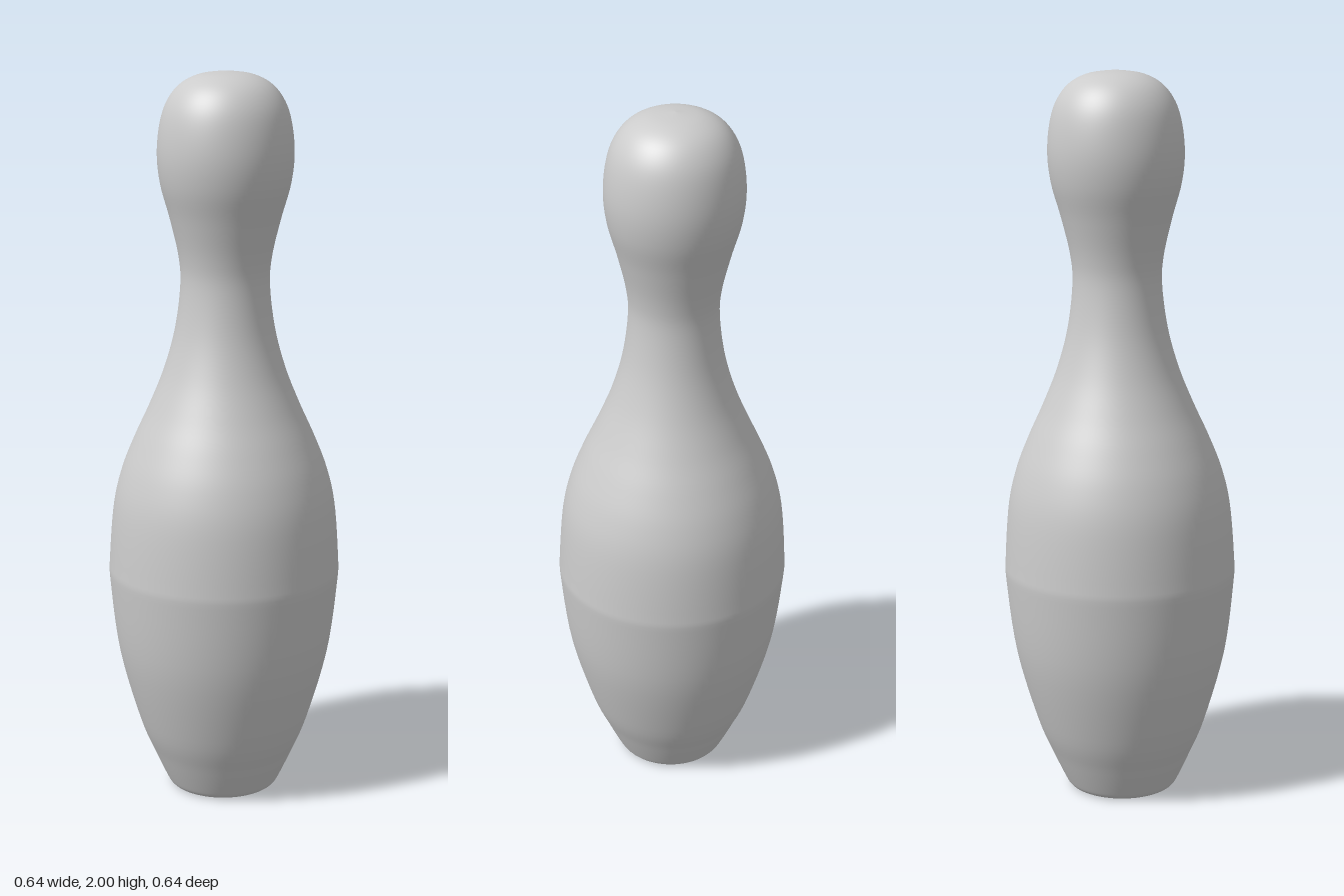
import * as THREE from 'three';
import { mergeVertices } from 'three/addons/utils/BufferGeometryUtils.js';

// Very slight backward lean, neutral at the belly
const lean = (y) => -0.0095 * (y - 0.6);

function leanGeometry(geometry) {
  const p = geometry.attributes.position;
  for (let i = 0; i < p.count; i++) p.setZ(i, p.getZ(i) + lean(p.getY(i)));
  return geometry;
}

export function createModel() {
  const model = new THREE.Group();
  const material = new THREE.MeshStandardMaterial({ color: 0xcccccc });

  // Pin body: [radius, height] from the foot to the crown
  const outline = [
    [0.135, 0], [0.15, 0.008], [0.163, 0.03], [0.195, 0.1], [0.236, 0.2],
    [0.291, 0.4], [0.316, 0.6], [0.317, 0.67], [0.305, 0.82], [0.282, 0.92],
    [0.247, 1.01], [0.206, 1.1], [0.166, 1.2], [0.136, 1.31], [0.121, 1.43],
    [0.126, 1.51], [0.149, 1.61], [0.174, 1.7], [0.183, 1.78], [0.176, 1.86],
    [0.157, 1.92], [0.122, 1.965], [0.07, 1.991], [0, 2],
  ];
  const curve = new THREE.SplineCurve(outline.map(([r, y]) => new THREE.Vector2(r, y)));
  const profile = curve.getPoints(120);
  profile.forEach((p) => p.set(Math.max(p.x, 0), THREE.MathUtils.clamp(p.y, 0, 2)));
  const pinBody = new THREE.Mesh(leanGeometry(new THREE.LatheGeometry(profile, 96)), material);
  pinBody.name = 'pinBody';
  model.add(pinBody);

  // Flat underside
  const disc = new THREE.CircleGeometry(0.135, 96).rotateX(Math.PI / 2);
  const pinBase = new THREE.Mesh(leanGeometry(mergeVertices(disc)), material);
  pinBase.name = 'pinBase';
  model.add(pinBase);

  return model;
}
